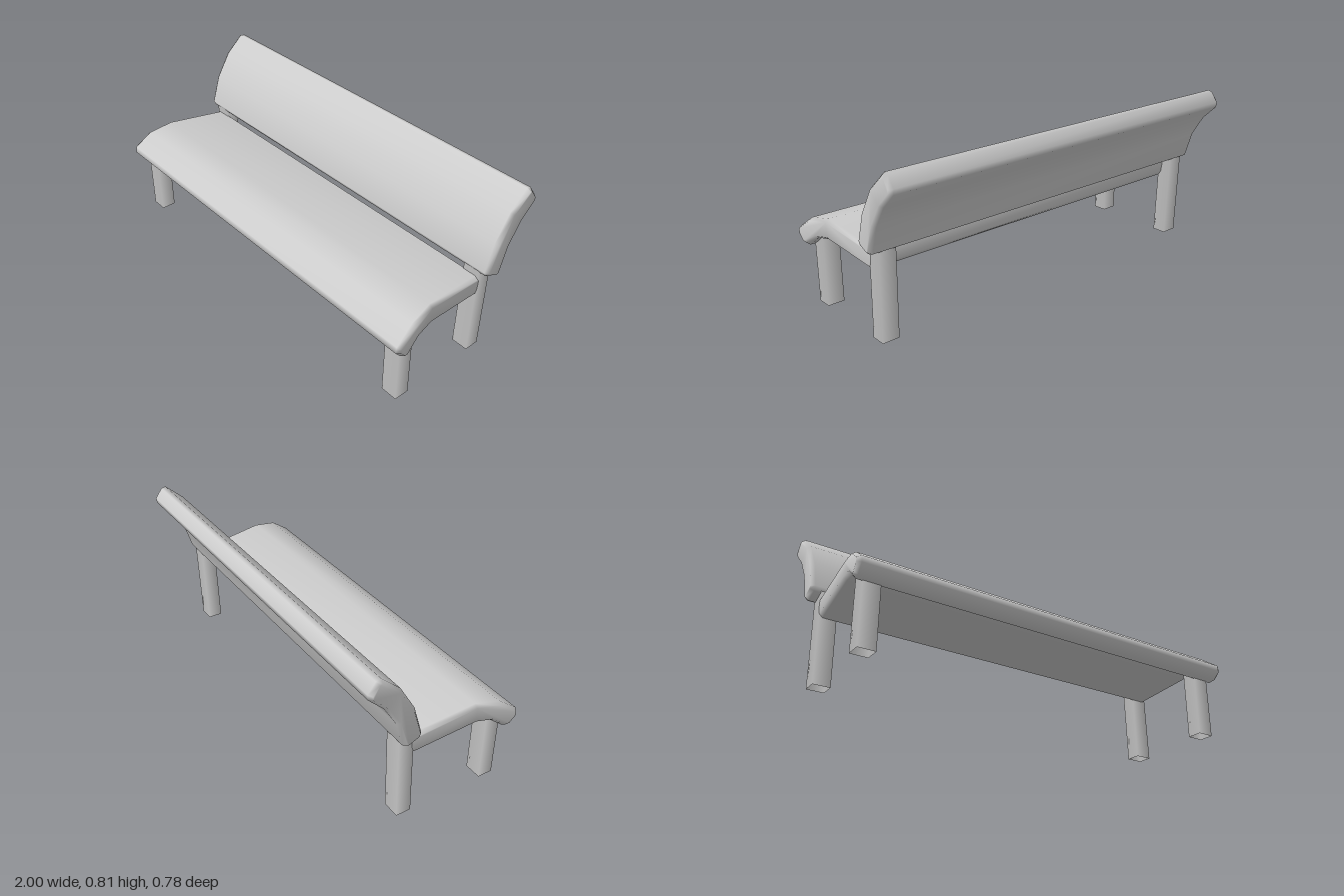
import * as THREE from 'three';

const material = new THREE.MeshStandardMaterial({ color: 0xcccccc, side: THREE.DoubleSide });

// Move each corner of a counter-clockwise [z, y] outline inward by d.
function inset(points, d) {
  const n = points.length;
  const inward = (a, b) => new THREE.Vector2(a[1] - b[1], b[0] - a[0]).normalize();
  return points.map((p, i) => {
    const n1 = inward(points[(i + n - 1) % n], p);
    const n2 = inward(p, points[(i + 1) % n]);
    const m = n1.clone().add(n2).multiplyScalar(d / (1 + n1.dot(n2)));
    return [p[0] + m.x, p[1] + m.y];
  });
}

// Plank running along x with a side outline, chamfered ends and a half-width that depends on z.
function plank(name, outline, halfWidth) {
  const n = outline.length;
  const small = inset(outline, 0.013);
  const rings = [[small, -1, 0], [outline, -1, 0.018], [outline, 1, 0.018], [small, 1, 0]];
  const positions = [], index = [];
  for (const [ring, side, cut] of rings)
    ring.forEach(([z, y], i) => positions.push(side * (halfWidth(outline[i][0]) - cut), y, z));
  for (let r = 0; r < 3; r++)
    for (let i = 0; i < n; i++) {
      const j = (i + 1) % n;
      const a = r * n + i, b = r * n + j, c = b + n, d = a + n;
      index.push(a, c, b, a, d, c);
    }
  // End caps
  const caps = THREE.ShapeUtils.triangulateShape(small.map(p => new THREE.Vector2(...p)), []);
  for (const [a, b, c] of caps) index.push(a, b, c, 3 * n + a, 3 * n + c, 3 * n + b);
  const geometry = new THREE.BufferGeometry();
  geometry.setAttribute('position', new THREE.Float32BufferAttribute(positions, 3));
  geometry.setIndex(index);
  geometry.computeVertexNormals();
  const mesh = new THREE.Mesh(geometry, material);
  mesh.name = name;
  return mesh;
}

// Square, soft-shaded open post; the top is shifted by lean in z.
function leg(name, x, z, height, lean) {
  const geometry = new THREE.CylinderGeometry(Math.SQRT1_2, Math.SQRT1_2, 1, 4, 1, true);
  geometry.rotateY(Math.PI / 4).translate(0, 0.5, 0).scale(0.082, height, 0.073);
  const p = geometry.attributes.position;
  for (let i = 0; i < p.count; i++) p.setZ(i, p.getZ(i) + lean * p.getY(i) / height);
  const mesh = new THREE.Mesh(geometry, material);
  mesh.name = name;
  mesh.position.set(x, 0, z);
  return mesh;
}

export function createModel() {
  const bench = new THREE.Group();
  bench.name = 'bench';

  // Seat: drops at the front edge and flares out toward it
  const seatOutline = [
    [0.39, 0.366], [0.30, 0.43], [0.18, 0.454], [-0.135, 0.416], [-0.152, 0.398], [-0.144, 0.342],
    [-0.128, 0.32], [0.18, 0.358], [0.262, 0.342], [0.33, 0.29], [0.358, 0.296], [0.393, 0.335],
  ];
  const seatWidth = z => z < 0.18
    ? THREE.MathUtils.mapLinear(z, -0.15, 0.18, 0.947, 0.971)
    : THREE.MathUtils.mapLinear(z, 0.18, 0.36, 0.971, 0.998);
  bench.add(plank('seat', seatOutline, z => Math.min(1, seatWidth(z))));

  // Backrest: curves away to the rear
  const backOutline = [
    [-0.123, 0.465], [-0.165, 0.60], [-0.24, 0.724], [-0.332, 0.806], [-0.355, 0.80], [-0.39, 0.752],
    [-0.387, 0.727], [-0.312, 0.655], [-0.25, 0.556], [-0.21, 0.427], [-0.192, 0.419], [-0.134, 0.443],
  ];
  bench.add(plank('backrest', backOutline, () => 0.997));

  // Legs
  for (const [side, s] of [['left', 1], ['right', -1]]) {
    bench.add(leg(side + 'FrontLeg', s * 0.908, 0.298, 0.38, 0));
    bench.add(leg(side + 'BackLeg', s * 0.906, -0.154, 0.48, -0.014));
  }
  return bench;
}
